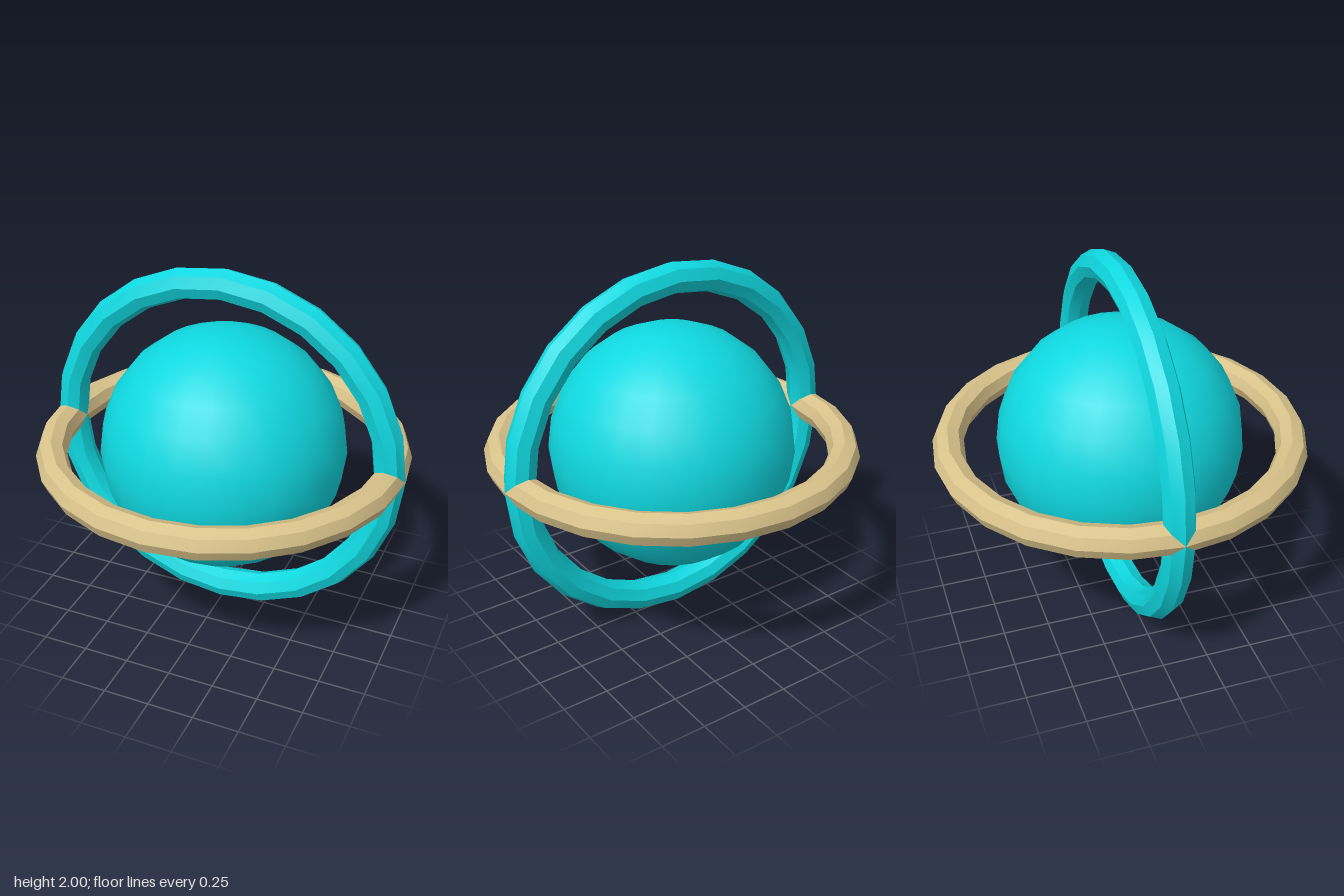
import * as THREE from 'three';
import { toCreasedNormals } from 'three/addons/utils/BufferGeometryUtils.js';

export function createModel() {
  const teal = new THREE.MeshStandardMaterial({ color: 0x0fd8e0 });
  teal.name = 'teal';
  const sand = new THREE.MeshStandardMaterial({ color: 0xd9c38b });
  sand.name = 'sand';

  const model = new THREE.Group();
  model.name = 'ringedSphere';

  function add(name, geometry, material) {
    const mesh = new THREE.Mesh(geometry, material);
    mesh.name = name;
    mesh.position.y = 1;
    model.add(mesh);
    return mesh;
  }

  // Smooth central ball
  add('sphere', new THREE.SphereGeometry(0.66, 24, 12), teal);

  // Two crossing octagonal rings: sharp along the tube, smooth around the loop
  const ring = toCreasedNormals(new THREE.TorusGeometry(0.917, 0.083, 8, 24), Math.PI / 6);
  add('uprightRing', ring, teal);
  add('levelRing', ring, sand).rotation.x = Math.PI / 2;

  return model;
}
